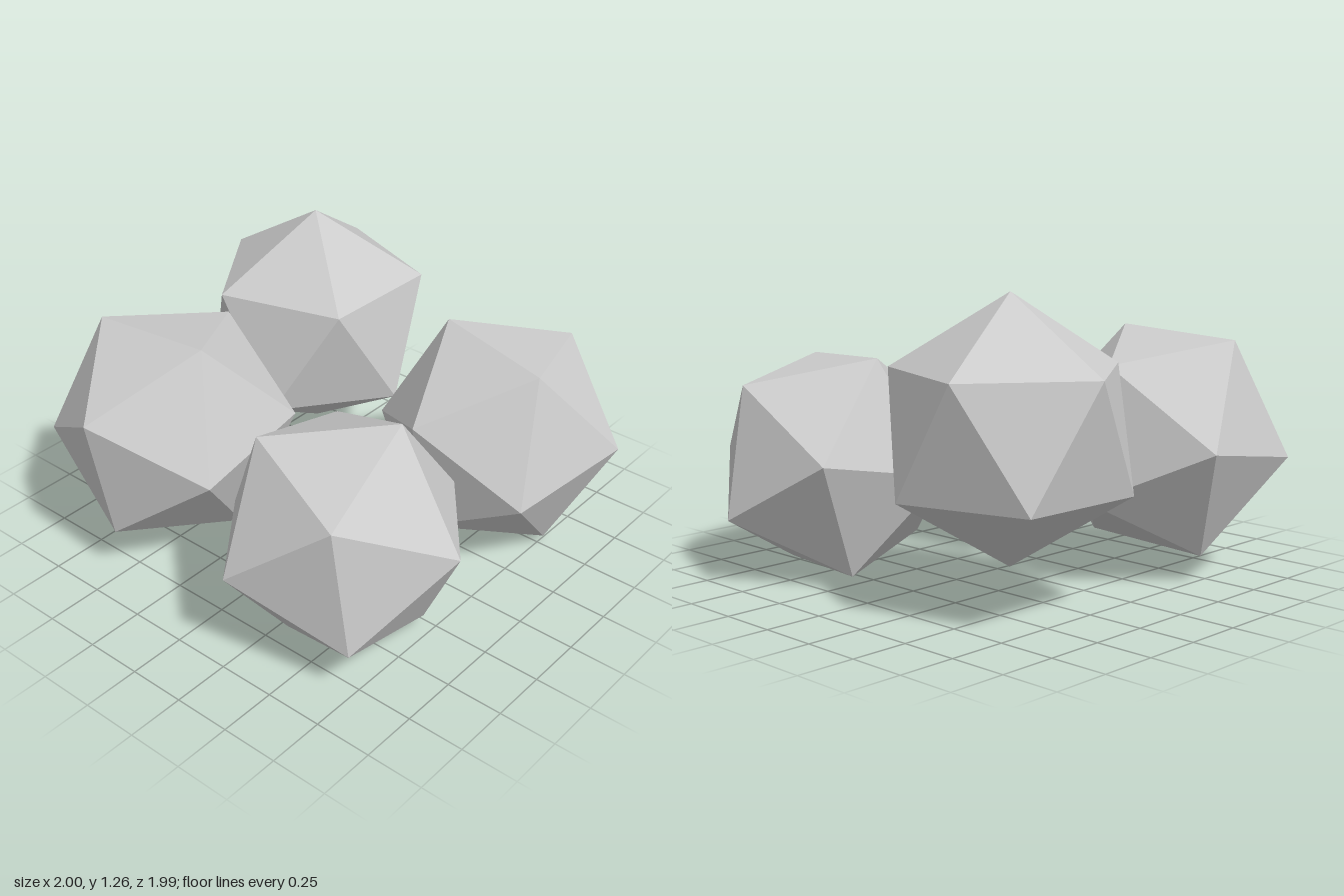
import * as THREE from 'three';

const RADIUS = 0.538;

// Each rock: centre, plus the directions of two neighbouring corners that fix its tilt
const ROCKS = [
  { name: 'backRightRock', at: [-0.506, 0.729, -0.45], a: [0, 0.538, 0], b: [-0.482, 0.24, -0.011] },
  { name: 'backLeftRock', at: [0.49, 0.49, -0.51], a: [-0.27, 0.465, 0.02], b: [0.28, 0.437, 0.14] },
  { name: 'frontRightRock', at: [-0.53, 0.594, 0.469], a: [-0.308, 0.433, 0.083], b: [0.26, 0.468, 0.056] },
  { name: 'frontLeftRock', at: [0.442, 0.49, 0.487], a: [0.161, 0.487, -0.161], b: [-0.273, 0.421, 0.193] },
];

// Rotation that carries the icosahedron's top edge onto the edge a-b
function edgeRotation(a, b) {
  const u = new THREE.Vector3(...a).normalize();
  const v = new THREE.Vector3(...b).normalize();
  const x = v.clone().sub(u).normalize();
  const y = v.clone().add(u).normalize();
  const z = x.clone().cross(y);
  return new THREE.Matrix4().makeBasis(x, y, z);
}

export function createModel() {
  const group = new THREE.Group();
  group.name = 'rockCluster';
  const material = new THREE.MeshStandardMaterial({ color: 0xcccccc, flatShading: true });
  const geometry = new THREE.IcosahedronGeometry(RADIUS, 0);

  for (const { name, at, a, b } of ROCKS) {
    const rock = new THREE.Mesh(geometry, material);
    rock.name = name;
    rock.position.set(...at);
    rock.quaternion.setFromRotationMatrix(edgeRotation(a, b));
    group.add(rock);
  }
  return group;
}
